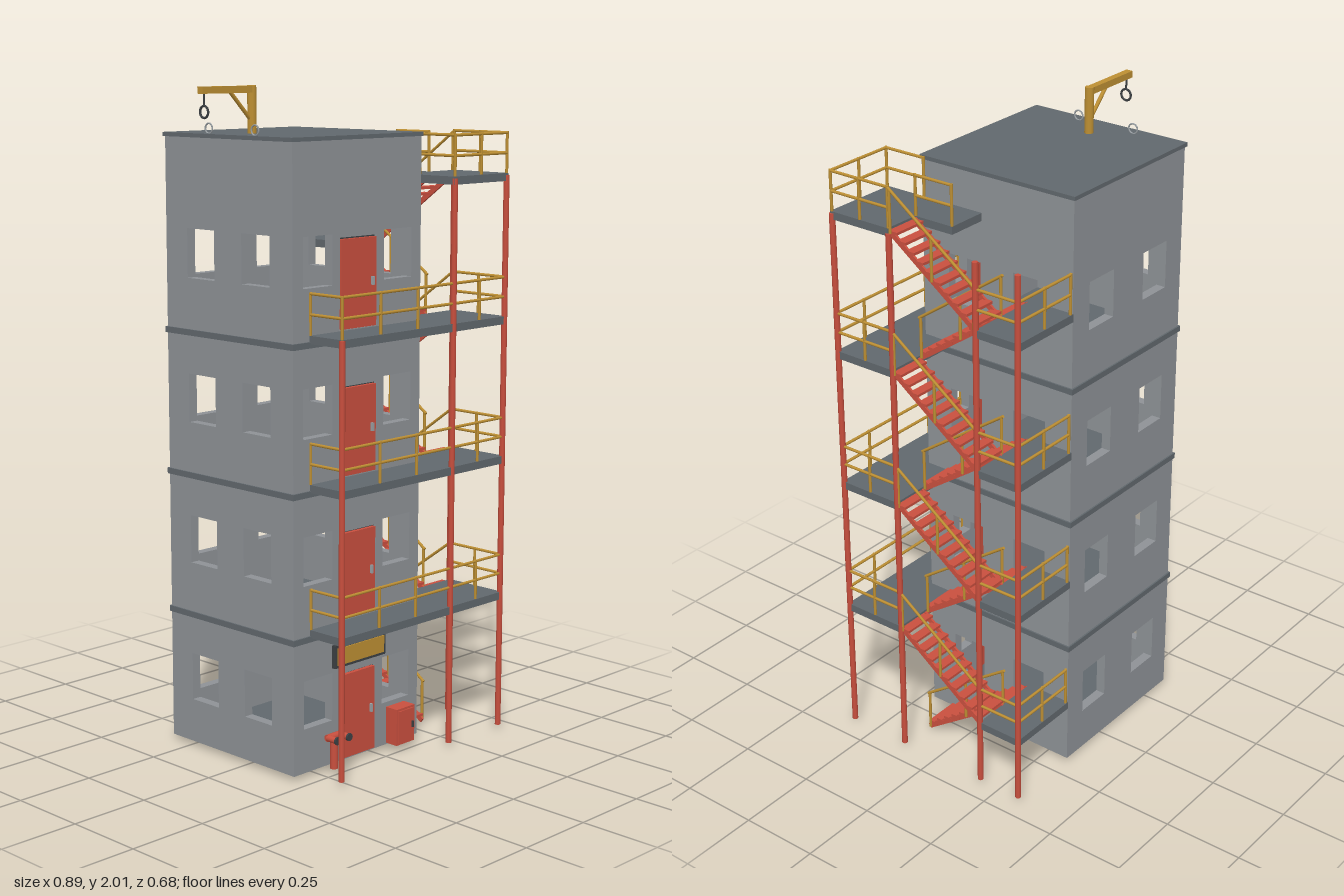
import * as THREE from 'three';

const mat = (name, color) => Object.assign(new THREE.MeshStandardMaterial({ color }), { name });

export function createModel() {
  const wallMat = mat('concrete grey', 0x8e9296);
  const slabMat = mat('slab grey', 0x61686d);
  const red = mat('painted red', 0xc94f3e);
  const yellow = mat('safety yellow', 0xbd8f33);
  const dark = mat('dark steel', 0x3c4043);
  const steel = mat('light steel', 0x9aa0a4);

  const root = new THREE.Group();
  root.name = 'trainingTower';
  const group = (name) => {
    const g = new THREE.Group();
    g.name = name;
    root.add(g);
    return g;
  };
  const add = (parent, name, geo, material) => {
    const m = new THREE.Mesh(geo, material);
    m.name = name;
    parent.add(m);
    return m;
  };
  // box given by its two corners
  const box = (parent, name, material, x0, x1, y0, y1, z0, z1) => {
    const m = add(parent, name, new THREE.BoxGeometry(x1 - x0, y1 - y0, z1 - z0), material);
    m.position.set((x0 + x1) / 2, (y0 + y1) / 2, (z0 + z1) / 2);
    return m;
  };
  // round bar between two points
  const bar = (parent, name, material, a, b, r = 0.0045, sides = 8) => {
    const p = new THREE.Vector3(...a), q = new THREE.Vector3(...b);
    const d = q.clone().sub(p);
    const m = add(parent, name, new THREE.CylinderGeometry(r, r, d.length(), sides), material);
    m.position.copy(p).add(q).multiplyScalar(0.5);
    m.quaternion.setFromUnitVectors(new THREE.Vector3(0, 1, 0), d.normalize());
    return m;
  };

  const STOREY = 0.434, MID = 0.213, H = 1.85, T = 0.03;
  const X0 = -0.345, X1 = 0.19, Z0 = -0.333, Z1 = 0.203;
  const cx = (X0 + X1) / 2, cz = (Z0 + Z1) / 2;
  const levels = [0, 1, 2, 3].map((i) => i * STOREY);

  // walls with window and door openings, u runs along the wall
  const wall = (name, half, inner, outer, door) => {
    const rect = (P, u0, u1, y0, y1) => {
      const s = new P();
      s.moveTo(u0, y0);
      s.lineTo(u1, y0);
      s.lineTo(u1, y1);
      s.lineTo(u0, y1);
      s.closePath();
      return s;
    };
    const shape = rect(THREE.Shape, -half, half, 0, H);
    for (const y of levels) {
      for (const [a, b] of [[-outer, -inner], [inner, outer]]) {
        shape.holes.push(rect(THREE.Path, a, b, y + 0.135, y + 0.282));
      }
      if (door) shape.holes.push(rect(THREE.Path, -0.078, 0.078, y + 0.003, y + 0.27));
    }
    const geo = new THREE.ExtrudeGeometry(shape, { depth: T, bevelEnabled: false });
    return add(tower, name, geo, wallMat);
  };
  const tower = group('tower');
  wall('frontWall', (X1 - X0) / 2, 0.108, 0.227, true).position.set(cx, 0, Z1 - T);
  wall('backWall', (X1 - X0) / 2, 0.073, 0.19, false).position.set(cx, 0, Z0);
  for (const [name, x] of [['rightWall', X0], ['leftWall', X1 - T]]) {
    const w = wall(name, (Z1 - Z0) / 2 - T, 0.058, 0.175, false);
    w.rotation.y = Math.PI / 2;
    w.position.set(x, 0, cz);
  }

  // floor slabs show outside as bands, roof slab overhangs
  box(tower, 'baseSlab', slabMat, X0 + T, X1 - T, 0.002, 0.02, Z0 + T, Z1 - T);
  for (const y of levels.slice(1)) {
    box(tower, 'floorBand', slabMat, X0 - 0.005, X1 + 0.005, y - 0.036, y - 0.018, Z0 - 0.005, Z1 + 0.005);
  }
  box(tower, 'roofSlab', slabMat, X0 - 0.006, X1 + 0.005, H, H + 0.012, Z0 - 0.005, Z1 + 0.004);

  // doors with dark frames and handles
  const doors = group('doors');
  for (const y of levels) {
    box(doors, 'doorFrame', dark, -0.156, 0, y + 0.003, y + 0.27, Z1 - 0.022, Z1 - 0.01);
    box(doors, 'door', red, -0.151, -0.005, y + 0.004, y + 0.265, Z1 - 0.026, Z1 + 0.003);
    box(doors, 'doorHandle', steel, -0.028, -0.021, y + 0.125, y + 0.15, Z1 + 0.003, Z1 + 0.012);
  }

  // sign, cabinet and standpipe at ground level
  const fittings = group('groundFittings');
  box(fittings, 'signFrame', dark, -0.187, 0.03, 0.297, 0.367, Z1, Z1 + 0.014);
  box(fittings, 'signPlate', yellow, -0.178, 0.021, 0.306, 0.358, Z1 + 0.012, Z1 + 0.018);
  box(fittings, 'cabinet', red, 0.05, 0.13, 0.005, 0.12, Z1, Z1 + 0.045);
  box(fittings, 'cabinetDoor', red, 0.056, 0.124, 0.012, 0.113, Z1 + 0.045, Z1 + 0.049);
  box(fittings, 'cabinetHandle', dark, 0.113, 0.118, 0.052, 0.072, Z1 + 0.049, Z1 + 0.054);
  bar(fittings, 'standpipe', red, [-0.21, 0, 0.235], [-0.21, 0.1, 0.235], 0.012, 12);
  bar(fittings, 'standpipeHead', red, [-0.24, 0.1, 0.235], [-0.18, 0.1, 0.235], 0.011, 12);
  for (const x of [-0.235, -0.185]) {
    bar(fittings, 'outlet', red, [x, 0.1, 0.235], [x, 0.1, 0.272], 0.01, 12);
    bar(fittings, 'outletCap', dark, [x, 0.1, 0.27], [x, 0.1, 0.276], 0.012, 12);
  }

  // columns of the stair and balconies
  const frame = group('columns');
  const XL = -0.275, XI = 0.198, XM = 0.317, XR = 0.434, ZF = 0.329, ZS = 0.12, ZM = -0.185, ZB = -0.33;
  for (const [x, z, h] of [[XL, ZF, 1.3], [XI, ZF, 1.73], [XR, ZF, 1.73], [XR, ZS, 1.72], [XR, ZM, 1.715], [XR, ZB, 1.715]]) {
    bar(frame, 'column', red, [x, 0, z], [x, h, z], 0.009, 8);
  }

  // guard rail: two rails and evenly spaced posts between two floor points
  const rails = group('guardRails');
  const rail = (y, x0, z0, x1, z1, n) => {
    for (const h of [0.06, 0.12]) bar(rails, 'rail', yellow, [x0, y + h, z0], [x1, y + h, z1]);
    for (let i = 0; i <= n; i++) {
      const x = x0 + ((x1 - x0) * i) / n, z = z0 + ((z1 - z0) * i) / n;
      bar(rails, 'railPost', yellow, [x, y, z], [x, y + 0.124, z]);
    }
  };

  // platforms: front balconies, top landing and half landings
  const decks = group('platforms');
  const deck = (name, y, x0, x1, z0, z1) => box(decks, name, slabMat, x0, x1, y - 0.024, y, z0, z1);
  for (let i = 1; i <= 4; i++) {
    const y = i * STOREY;
    deck('stairPlatform', y, 0.19, 0.437, ZS, 0.333);
    if (i < 4) {
      deck('balcony', y, -0.278, 0.19, Z1, 0.333);
      rail(y, XL, Z1, XL, ZF, 1);
      rail(y, XL, ZF, XI, ZF, 3);
    } else {
      deck('roofAccess', y, 0.19, 0.32, -0.013, ZS);
      rail(y, XI, 0.19, XI, ZF, 1);
      rail(y, XM, -0.01, XM, ZS, 1);
    }
    rail(y, XI, ZF, XR, ZF, 2);
    rail(y, XR, ZF, XR, ZS, 2);
    const m = y - STOREY + MID;
    deck('halfLanding', m, 0.19, 0.437, -0.335, ZM);
    rail(m, XI, ZB, XR, ZB, 2);
    rail(m, XR, ZB, XR, ZM, 1);
  }

  // stair flights: stringers, treads and one sloping handrail
  const stairs = group('stairs');
  const flight = (x0, x1, ya, za, yb, zb, railX) => {
    const n = 10;
    const len = Math.hypot(yb - ya, zb - za);
    for (const x of [x0 + 0.004, x1 - 0.004]) {
      const s = add(stairs, 'stringer', new THREE.BoxGeometry(0.007, 0.016, len), red);
      s.position.set(x, (ya + yb) / 2 - 0.008, (za + zb) / 2);
      s.rotation.x = -Math.atan((yb - ya) / (zb - za));
    }
    for (let i = 0; i < n; i++) {
      const t = (i + 0.5) / n;
      const y = ya + (yb - ya) * t, z = za + (zb - za) * t;
      box(stairs, 'tread', red, x0, x1, y - 0.004, y + 0.004, z - 0.0155, z + 0.0155);
    }
    bar(stairs, 'handrail', yellow, [railX, ya + 0.12, za], [railX, yb + 0.12, zb]);
    for (const t of [0.02, 0.5, 0.98]) {
      const y = ya + (yb - ya) * t, z = za + (zb - za) * t;
      bar(stairs, 'handrailPost', yellow, [railX, y - 0.01, z], [railX, y + 0.12, z]);
    }
  };
  for (const y of levels) {
    flight(0.197, 0.313, y, ZS, y + MID, ZM, 0.315);
    flight(0.321, 0.434, y + MID, ZM, y + STOREY, ZS, XR);
  }

  // roof hoist with brace, rope and ring
  const hoist = group('hoist');
  bar(hoist, 'hoistPost', yellow, [-0.245, H, cz], [-0.245, 2, cz], 0.0135, 12);
  box(hoist, 'hoistArm', yellow, -0.445, -0.245, 1.979, 1.999, cz - 0.011, cz + 0.011);
  bar(hoist, 'hoistBrace', yellow, [-0.248, 1.9, cz], [-0.332, 1.985, cz], 0.006);
  bar(hoist, 'hoistRope', dark, [-0.43, 1.945, cz], [-0.43, 1.98, cz], 0.003);
  const ring = (parent, name, material, x, y, z, r, tube) => {
    const m = add(parent, name, new THREE.TorusGeometry(r, tube, 8, 20), material);
    m.rotation.y = Math.PI / 2;
    m.position.set(x, y, z);
    return m;
  };
  ring(hoist, 'hoistRing', dark, -0.43, 1.928, cz, 0.017, 0.0035);

  // anchor rings on the roof
  const anchors = group('roofAnchors');
  for (const z of [cz - 0.105, cz + 0.09]) ring(anchors, 'anchorRing', steel, -0.318, H + 0.026, z, 0.015, 0.0025);

  return root;
}
